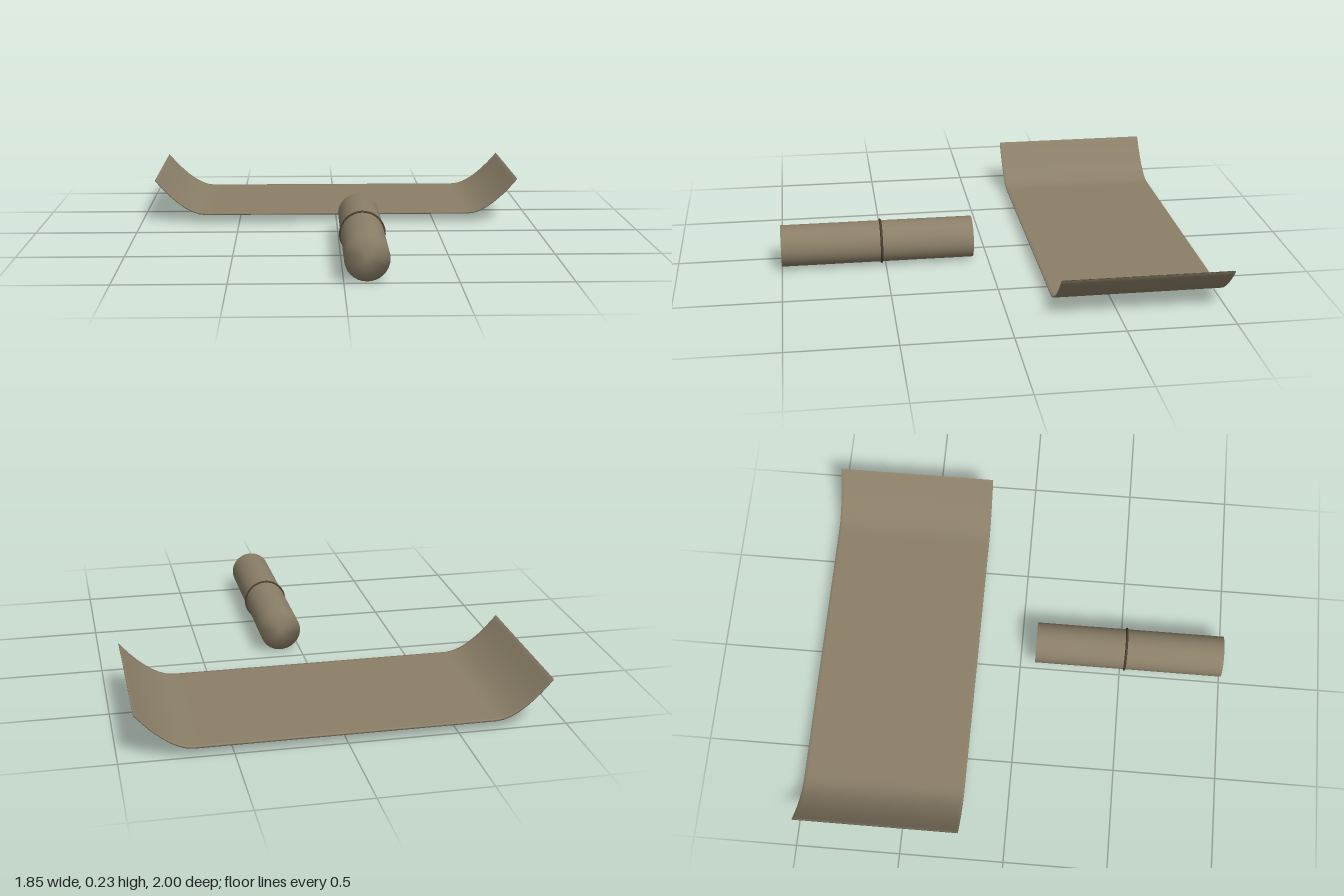
import * as THREE from 'three';
import { mergeVertices } from 'three/addons/utils/BufferGeometryUtils.js';

const canvasCloth = new THREE.MeshStandardMaterial({ name: 'canvasCloth', color: 0x8b7f68 });
const darkStrap = new THREE.MeshStandardMaterial({ name: 'darkStrap', color: 0x4a3f30 });

// Weld corners so the shading runs smoothly around every edge
function weld(geometry) {
  geometry.deleteAttribute('normal');
  geometry.deleteAttribute('uv');
  const welded = mergeVertices(geometry, 1e-4);
  welded.computeVertexNormals();
  return welded;
}

function addMesh(group, name, geometry, material, x, y, z) {
  const mesh = new THREE.Mesh(geometry, material);
  mesh.name = name;
  mesh.position.set(x, y, z);
  group.add(mesh);
  return mesh;
}

// Thin flat mat whose two ends curl upwards
function matGeometry() {
  const halfX = 0.925, halfZ = 0.392, flatX = 0.68, lift = 0.177;
  const geometry = new THREE.BoxGeometry(2, 0.008, 2, 56, 1, 12);
  const p = geometry.attributes.position;
  // Outermost rows form a narrow hem
  const spread = (u, segments, half) => {
    const inner = 1 - 2 / segments;
    return Math.abs(u) > inner + 1e-4 ? Math.sign(u) * half : (u / inner) * (half - 0.015);
  };
  for (let i = 0; i < p.count; i++) {
    const x = spread(p.getX(i), 56, halfX);
    const z = spread(p.getZ(i), 12, halfZ);
    const t = Math.max(0, (Math.abs(x) - flatX) / (halfX - flatX));
    p.setXYZ(i, x, p.getY(i) + lift * Math.pow(t, 1.7), z);
  }
  return weld(geometry);
}

export function createModel() {
  const model = new THREE.Group();
  model.name = 'matAndRoll';

  addMesh(model, 'unrolledMat', matGeometry(), canvasCloth, 0, 0.048, -0.608);

  // Rolled mat lying along z
  const roll = weld(new THREE.CylinderGeometry(0.1, 0.1, 0.925, 32).rotateX(Math.PI / 2));
  addMesh(model, 'rolledMat', roll, canvasCloth, 0.1, 0.111, 0.5375);

  // Cord tied around the middle of the roll
  addMesh(model, 'tieCord', new THREE.TorusGeometry(0.102, 0.006, 8, 48), darkStrap, 0.1, 0.111, 0.52);

  return model;
}
